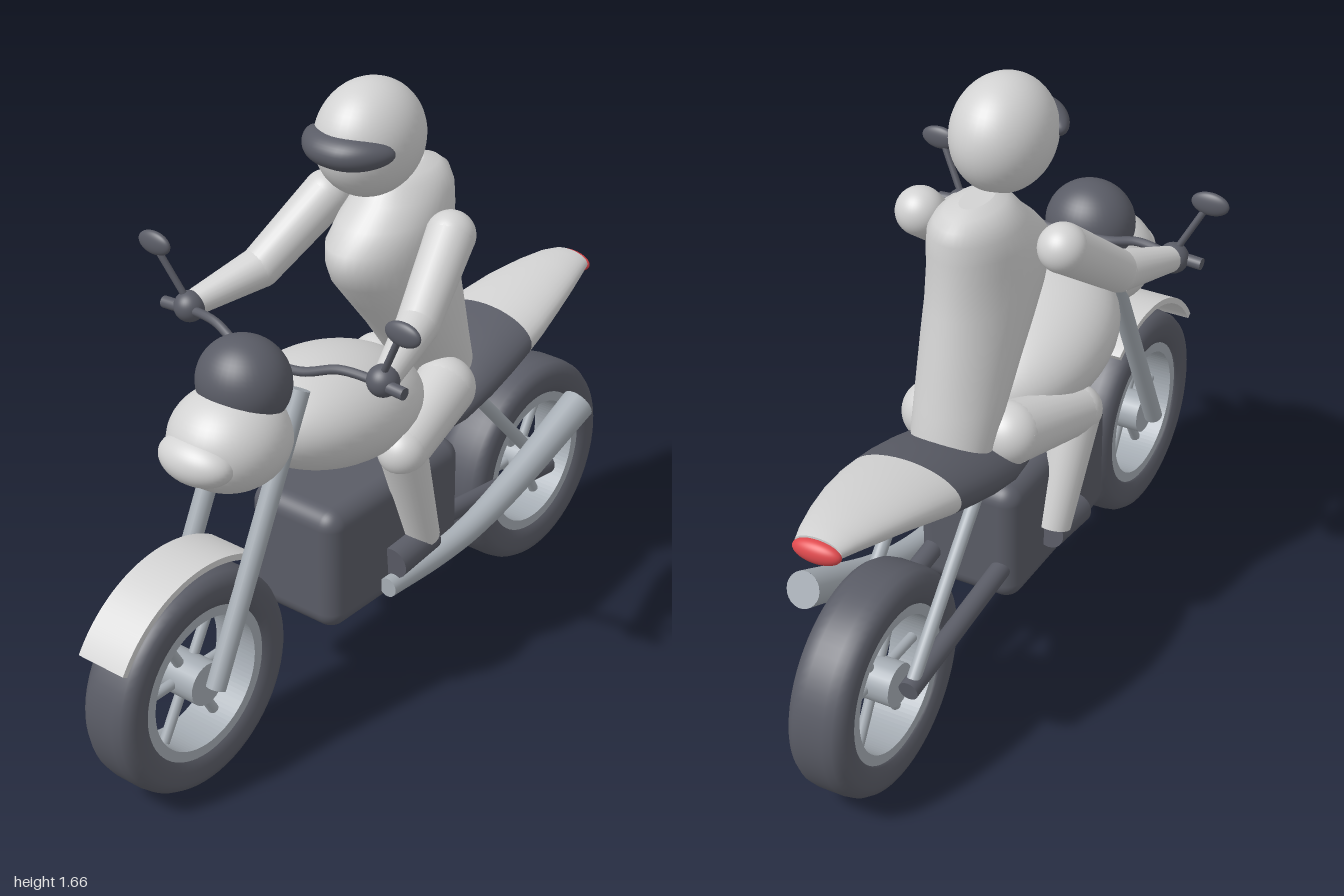
import * as THREE from 'three';
import { RoundedBoxGeometry } from 'three/addons/geometries/RoundedBoxGeometry.js';

const material = (name, color) => {
  const m = new THREE.MeshStandardMaterial({ color });
  m.name = name;
  return m;
};

// Ring or arc plate around the x axis; angles run from +z towards +y
function arcPlate(rOut, rIn, width, a0 = 0, a1 = Math.PI * 2) {
  const s = new THREE.Shape();
  s.absarc(0, 0, rOut, a0, a1, false);
  if (a1 - a0 > 6.2) {
    const hole = new THREE.Path();
    hole.absarc(0, 0, rIn, 0, Math.PI * 2, true);
    s.holes.push(hole);
  } else {
    s.absarc(0, 0, rIn, a1, a0, true);
    s.closePath();
  }
  const g = new THREE.ExtrudeGeometry(s, { depth: width, bevelEnabled: false, curveSegments: 48 });
  return g.translate(0, 0, -width / 2).rotateY(-Math.PI / 2);
}

// Elliptical sections [along, low, high, halfWidth], closed at both ends
function loft(sections, place, n = 40) {
  const first = sections[0], last = sections[sections.length - 1];
  const flat = ([t, lo, hi]) => [t, (lo + hi) / 2, (lo + hi) / 2, 0];
  const all = [flat(first), first, ...sections, last, flat(last)];
  const pos = [], idx = [];
  all.forEach(([t, lo, hi, w], i) => {
    for (let j = 0; j < n; j++) {
      const a = (j / n) * Math.PI * 2;
      pos.push(...place(w * Math.cos(a), (lo + hi) / 2 + ((hi - lo) / 2) * Math.sin(a), t));
      if (i < all.length - 1) {
        const p = i * n + j, q = i * n + ((j + 1) % n);
        idx.push(p, p + n, q, q, p + n, q + n);
      }
    }
  });
  const g = new THREE.BufferGeometry();
  g.setAttribute('position', new THREE.Float32BufferAttribute(pos, 3));
  g.setIndex(idx);
  g.computeVertexNormals();
  return g;
}

export function createModel() {
  const model = new THREE.Group();
  model.name = 'motorcycleWithRider';
  const light = material('lightGrey', 0xd2d2d2);
  const dark = material('darkGrey', 0x5a5c66);
  const metal = material('metal', 0xa6adb4);
  const red = material('redLamp', 0xe04a4e);

  const add = (name, geometry, mat, parent = model) => {
    const m = new THREE.Mesh(geometry, mat);
    m.name = name;
    parent.add(m);
    return m;
  };
  const ball = (name, mat, c, r, tilt = 0) => {
    const m = add(name, new THREE.SphereGeometry(1, 40, 28), mat);
    m.scale.set(...r);
    m.position.set(...c);
    m.rotation.x = tilt;
    return m;
  };
  const rod = (name, mat, a, b, ra, rb = ra, parent = model) => {
    const p = new THREE.Vector3(...a), d = new THREE.Vector3(...b).sub(p);
    const m = add(name, new THREE.CylinderGeometry(rb, ra, d.length(), 24), mat, parent);
    m.position.copy(p).addScaledVector(d, 0.5);
    m.quaternion.setFromUnitVectors(new THREE.Vector3(0, 1, 0), d.normalize());
    return m;
  };
  const curve = (points) => new THREE.CatmullRomCurve3(points.map((p) => new THREE.Vector3(...p)));

  // Wheels
  const tyreProfile = [[0.205, -0.06], [0.215, -0.07], [0.235, -0.078], [0.265, -0.08], [0.285, -0.072],
    [0.296, -0.055], [0.3, -0.03], [0.3, 0.03], [0.296, 0.055], [0.285, 0.072], [0.265, 0.08],
    [0.235, 0.078], [0.215, 0.07], [0.205, 0.06], [0.205, -0.06]].map((p) => new THREE.Vector2(...p));
  for (const [name, z] of [['frontWheel', 0.7], ['rearWheel', -0.7]]) {
    const wheel = new THREE.Group();
    wheel.name = name;
    wheel.position.set(0, 0.3, z);
    model.add(wheel);
    add('tyre', new THREE.LatheGeometry(tyreProfile, 64).rotateZ(Math.PI / 2), dark, wheel);
    add('rim', arcPlate(0.212, 0.182, 0.13), metal, wheel);
    rod('hub', metal, [-0.07, 0, 0], [0.07, 0, 0], 0.058, 0.058, wheel);
    for (let i = 0; i < 6; i++) {
      const a = (i * Math.PI) / 3, y = Math.sin(a), c = Math.cos(a);
      rod('spoke', metal, [0, y * 0.04, c * 0.04], [0, y * 0.19, c * 0.19], 0.014, 0.014, wheel);
    }
  }
  const fender = add('frontFender', arcPlate(0.345, 0.328, 0.146, 0.56, 2.14), light);
  fender.position.set(0, 0.3, 0.7);

  // Body
  ball('tank', light, [0, 0.83, 0.14], [0.205, 0.153, 0.3], -0.17);
  ball('noseFairing', light, [0, 0.9, 0.515], [0.153, 0.133, 0.16]);
  ball('headlight', light, [0, 0.89, 0.635], [0.11, 0.063, 0.07]);
  ball('windscreen', dark, [0, 1.03, 0.46], [0.123, 0.118, 0.115]);
  const engine = add('engine', new RoundedBoxGeometry(0.29, 0.35, 0.545, 6, 0.05), dark);
  engine.position.set(0, 0.435, 0.03);

  // Seat and tail
  const alongZ = (x, y, z) => [x, y, z];
  add('seat', loft([[-0.06, 0.622, 0.665, 0.09], [-0.15, 0.619, 0.72, 0.14], [-0.25, 0.622, 0.77, 0.163],
    [-0.35, 0.642, 0.805, 0.166], [-0.45, 0.672, 0.833, 0.163], [-0.53, 0.697, 0.85, 0.156]], alongZ), dark);
  add('tail', loft([[-0.53, 0.697, 0.85, 0.156], [-0.6, 0.723, 0.862, 0.148], [-0.7, 0.757, 0.874, 0.129],
    [-0.8, 0.783, 0.88, 0.104], [-0.88, 0.802, 0.879, 0.08], [-0.925, 0.812, 0.87, 0.064]], alongZ), light);
  ball('tailLamp', red, [0, 0.835, -0.93], [0.066, 0.03, 0.026]);

  // Exhaust on the left side, widening to the rear
  const path = curve([[0.165, 0.32, 0.105], [0.165, 0.318, -0.1], [0.168, 0.335, -0.25],
    [0.172, 0.385, -0.42], [0.185, 0.52, -0.725]]);
  const steps = 40, sides = 24, taper = (t) => 0.027 + 0.021 * t;
  const pipe = new THREE.TubeGeometry(path, steps, 1, sides), pp = pipe.attributes.position;
  const v = new THREE.Vector3();
  for (let i = 0; i < pp.count; i++) {
    const t = Math.floor(i / (sides + 1)) / steps, c = path.getPointAt(t);
    v.fromBufferAttribute(pp, i).sub(c).multiplyScalar(taper(t)).add(c);
    pp.setXYZ(i, v.x, v.y, v.z);
  }
  add('exhaust', pipe, metal);
  for (const t of [0, 1]) {
    const cap = add('exhaustEnd', new THREE.CircleGeometry(taper(t), sides), metal);
    cap.position.copy(path.getPointAt(t));
    cap.quaternion.setFromUnitVectors(new THREE.Vector3(0, 0, 1), path.getTangentAt(t).multiplyScalar(t ? 1 : -1));
  }

  // Handlebar
  add('handlebar', new THREE.TubeGeometry(curve([[-0.37, 1.07, 0.325], [-0.29, 1.075, 0.325], [-0.2, 1.078, 0.34],
    [-0.09, 1.045, 0.36], [0.09, 1.045, 0.36], [0.2, 1.078, 0.34], [0.29, 1.075, 0.325], [0.37, 1.07, 0.325]]),
    48, 0.012, 12), dark);

  // Rider torso, head and visor
  add('torso', loft([[0.72, -0.4, -0.23, 0.1], [0.8, -0.392, -0.18, 0.112], [0.88, -0.375, -0.12, 0.118],
    [0.96, -0.36, -0.06, 0.123], [1.05, -0.343, 0.015, 0.128], [1.13, -0.328, 0.08, 0.131],
    [1.18, -0.322, 0.1, 0.132], [1.23, -0.317, 0.1, 0.13], [1.28, -0.315, 0.05, 0.125],
    [1.33, -0.313, -0.01, 0.112], [1.365, -0.305, -0.04, 0.09], [1.385, -0.28, -0.06, 0.065],
    [1.395, -0.23, -0.09, 0.035]], (x, z, y) => [x, y, z]), light);
  ball('helmet', light, [0, 1.51, -0.025], [0.13, 0.15, 0.157]);
  const visor = new THREE.SphereGeometry(1, 40, 28).rotateZ(Math.PI / 2), vp = visor.attributes.position;
  for (let i = 0; i < vp.count; i++) {
    const x = vp.getX(i), y = vp.getY(i), z = vp.getZ(i);
    const wide = Math.sign(x) * Math.pow(Math.abs(x), 0.85);
    vp.setXYZ(i, wide * 0.133, 1.515 + y * 0.046, 0.1 + z * 0.063 - 0.05 * x * x);
  }
  visor.computeVertexNormals();
  add('visor', visor, dark);

  // Paired parts
  for (const s of [-1, 1]) {
    const side = s > 0 ? 'left' : 'right';
    const both = (part, mat, a, b, ra, rb) =>
      rod(side + part, mat, [a[0] * s, a[1], a[2]], [b[0] * s, b[1], b[2]], ra, rb);
    const orb = (part, mat, c, r) => ball(side + part, mat, [c[0] * s, c[1], c[2]], r.length ? r : [r, r, r]);

    both('Fork', metal, [0.097, 0.3, 0.7], [0.097, 1.0, 0.365], 0.026);
    both('SwingArm', dark, [0.1, 0.365, -0.2], [0.1, 0.3, -0.71], 0.027);
    both('Shock', metal, [0.1, 0.69, -0.34], [0.1, 0.31, -0.69], 0.018);
    both('Grip', dark, [0.29, 1.075, 0.325], [0.387, 1.069, 0.325], 0.016);
    both('MirrorStem', dark, [0.31, 1.085, 0.315], [0.385, 1.225, 0.345], 0.009);
    orb('Mirror', dark, [0.395, 1.238, 0.343], [0.052, 0.032, 0.017]);

    // Arm
    const shoulder = [0.2, 1.275, -0.095], elbow = [0.255, 1.125, 0.105], wrist = [0.312, 1.078, 0.3];
    orb('Shoulder', light, shoulder, 0.064);
    both('UpperArm', light, shoulder, elbow, 0.064, 0.055);
    orb('Elbow', light, elbow, 0.055);
    both('Forearm', light, elbow, wrist, 0.055, 0.034);
    orb('Glove', dark, [0.312, 1.075, 0.312], 0.041);

    // Leg
    const hip = [0.11, 0.77, -0.2], knee = [0.172, 0.715, 0.055], ankle = [0.16, 0.405, -0.05];
    orb('Hip', light, hip, 0.083);
    both('Thigh', light, hip, knee, 0.083, 0.066);
    orb('Knee', light, knee, 0.066);
    both('Shin', light, knee, ankle, 0.064, 0.046);
    both('Boot', dark, [0.16, 0.395, -0.075], [0.162, 0.382, 0.08], 0.042, 0.044);
  }
  return model;
}
